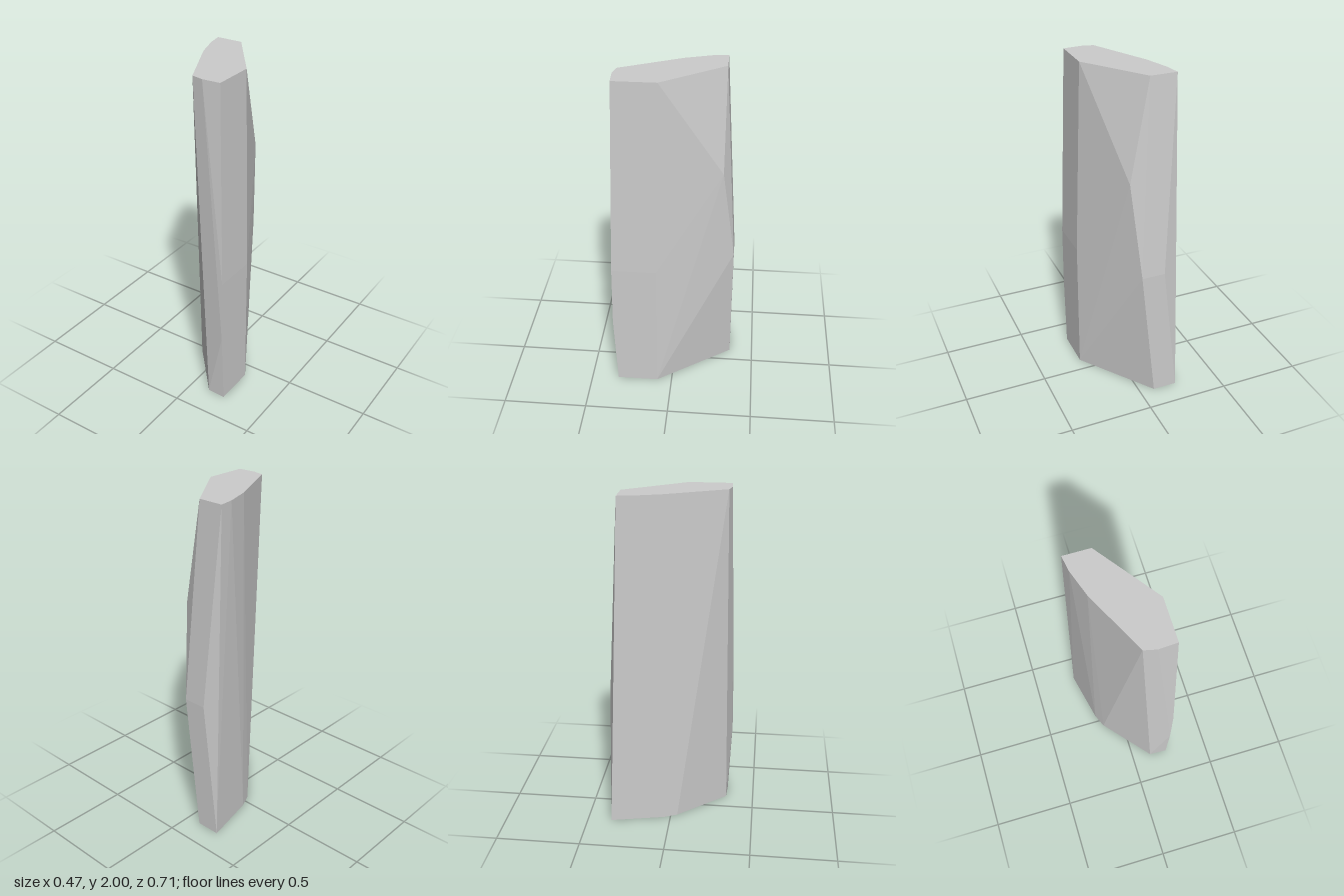
import * as THREE from 'three';
import { ConvexGeometry } from 'three/addons/geometries/ConvexGeometry.js';

// Outline corners as [x, z], grouped by height
const rings = [
  // base
  { y: 0, corners: [[-0.235, -0.355], [-0.09, -0.355], [0.23, 0.09], [0.23, 0.335], [0.12, 0.33], [-0.13, 0.04], [-0.165, -0.04]] },
  // slight bulge of the front corner
  { y: 0.45, corners: [[0.23, 0.355]] },
  // shoulder where the back and the side begin to lean inward
  { y: 0.83, corners: [[-0.14, -0.355], [0, -0.355], [0.23, 0.09], [0.23, 0.35]] },
  // swelling along the broad diagonal face
  { y: 1.4, corners: [[0.048, -0.28]] },
  // top
  { y: 2, corners: [[-0.215, -0.28], [-0.06, -0.28], [0.195, 0.07], [0.195, 0.315], [0.09, 0.321], [0.02, 0.305], [-0.15, -0.04], [-0.2, -0.19]] },
];

export function createModel() {
  const group = new THREE.Group();
  group.name = 'standingStone';

  // One faceted stone block wrapped around all the corners
  const points = rings.flatMap(({ y, corners }) => corners.map(([x, z]) => new THREE.Vector3(x, y, z)));
  const stone = new THREE.Mesh(
    new ConvexGeometry(points),
    new THREE.MeshStandardMaterial({ color: 0xcccccc, flatShading: true })
  );
  stone.name = 'stoneBlock';
  group.add(stone);
  return group;
}
